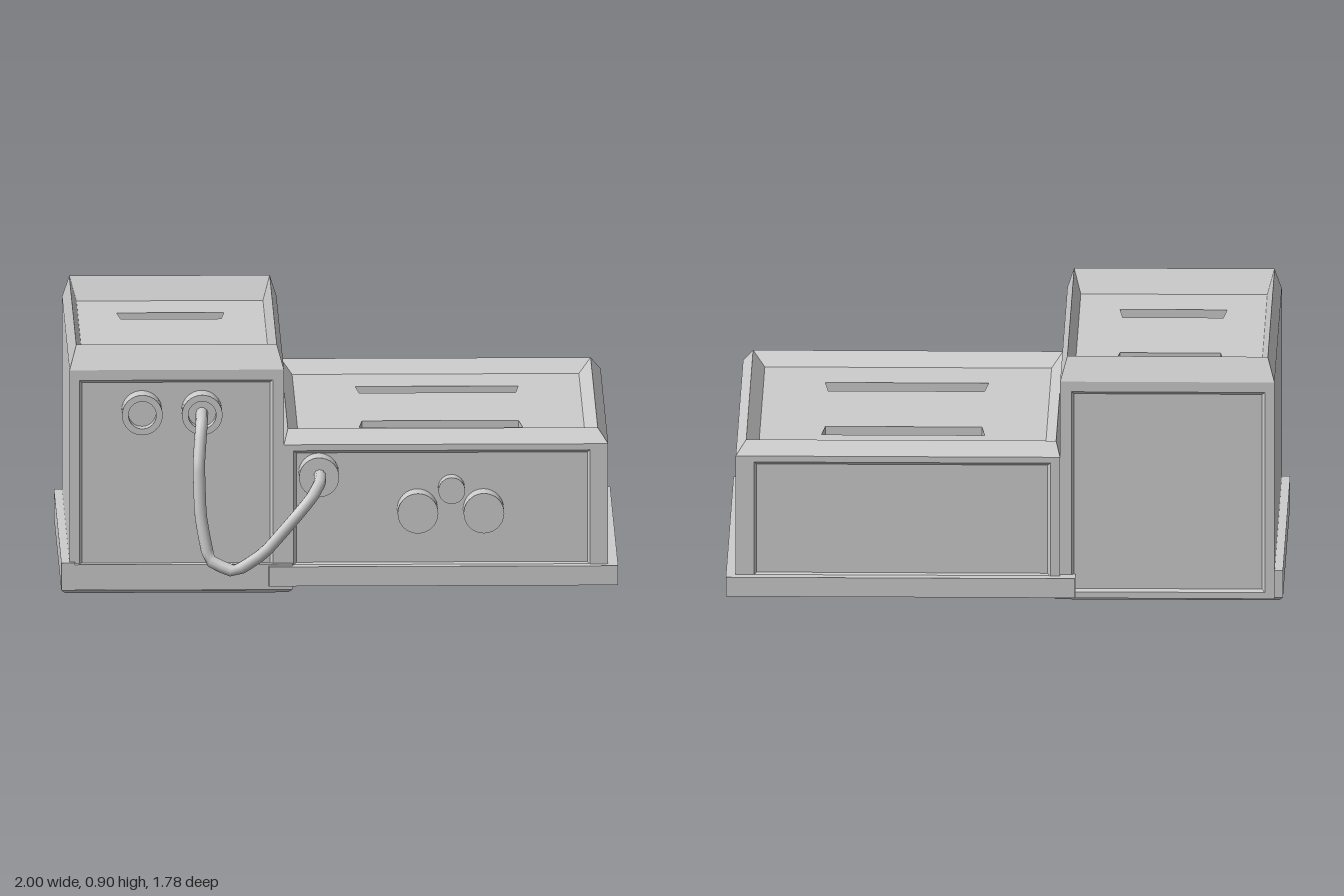
import * as THREE from 'three';
import { toCreasedNormals } from 'three/addons/utils/BufferGeometryUtils.js';

const grey = new THREE.MeshStandardMaterial({ color: 0xcccccc });

function add(parent, name, geometry, x = 0, y = 0, z = 0) {
  const mesh = new THREE.Mesh(geometry, grey);
  mesh.name = name;
  mesh.position.set(x, y, z);
  parent.add(mesh);
  return mesh;
}

// Box given by its limits
function block(parent, name, x0, x1, y0, y1, z0, z1) {
  return add(parent, name, new THREE.BoxGeometry(x1 - x0, y1 - y0, z1 - z0),
    (x0 + x1) / 2, (y0 + y1) / 2, (z0 + z1) / 2);
}

const polygon = (points, Type = THREE.Shape) => new Type(points.map(p => new THREE.Vector2(...p)));

// Bands between rectangular rings [x0, x1, z0, z1, y]
function ringBands(rings) {
  const corners = rings.map(([x0, x1, z0, z1, y]) => [[x0, y, z1], [x1, y, z1], [x1, y, z0], [x0, y, z0]]);
  const pos = [];
  for (let r = 0; r < rings.length - 1; r++) {
    for (let i = 0; i < 4; i++) {
      const j = (i + 1) % 4;
      const a = corners[r][i], b = corners[r][j], c = corners[r + 1][j], d = corners[r + 1][i];
      pos.push(...a, ...b, ...c, ...a, ...c, ...d);
    }
  }
  const g = new THREE.BufferGeometry();
  g.setAttribute('position', new THREE.Float32BufferAttribute(pos, 3));
  g.computeVertexNormals();
  return g;
}

// Horizontal plate pierced by slightly tapered slots
function slottedPlate([x0, x1, z0, z1], y, thickness, slots, shift = 0) {
  const shape = polygon([[x0, -z1], [x1, -z1], [x1, -z0], [x0, -z0]]);
  for (const [sx0, sx1, zNarrow, zWide] of slots) {
    const n = -zNarrow - shift, w = -zWide - shift;
    shape.holes.push(polygon([[sx0, w], [sx1, w], [sx1 - 0.012, n], [sx0 + 0.012, n]], THREE.Path));
  }
  const g = new THREE.ExtrudeGeometry(shape, { depth: thickness, bevelEnabled: false });
  return g.rotateX(-Math.PI / 2).translate(0, y, 0);
}

const WALL = 0.04, RECESS = 0.012, SLOT = 0.06;

// Upright frame with bevelled opening; facing is 1 for front, -1 for back
function endFrame(x0, x1, y0, y1, [px0, px1, py0, py1], facing) {
  const ring = (a, b, lo, hi, depth) => facing > 0 ? [a, b, -hi, -lo, depth] : [a, b, lo, hi, depth];
  return ringBands([
    ring(x0, x1, y0, y1, -WALL), ring(x0, x1, y0, y1, 0), ring(px0, px1, py0, py1, 0),
    ring(px0 + 0.01, px1 - 0.01, py0 + 0.01, py1 - 0.01, -RECESS),
  ]).rotateX(facing * Math.PI / 2);
}

function cabinet(name, o) {
  const group = new THREE.Group();
  group.name = name;
  const { x: [x0, x1], z: [z0, z1], bottom, rim, top, panel, backPanel, ridge, inner, slots } = o;

  // Front and back frames with sunken panels
  const [px0, px1, py0, py1] = panel, [bx0, bx1, by0, by1] = backPanel;
  add(group, 'frontFrame', endFrame(x0, x1, bottom, rim, panel, 1), 0, 0, z1);
  add(group, 'backFrame', endFrame(x0, x1, bottom, rim, backPanel, -1), 0, 0, z0);
  block(group, 'frontPanel', px0, px1, py0, py1, z1 - WALL, z1 - RECESS);
  block(group, 'backPanel', bx0, bx1, by0, by1, z0 + RECESS, z0 + WALL);

  // Side walls and the core that closes the slots
  block(group, 'rightWall', x0, x0 + 0.02, bottom, rim, z0 + WALL, z1 - WALL);
  block(group, 'leftWall', x1 - 0.02, x1, bottom, rim, z0 + WALL, z1 - WALL);
  block(group, 'core', x0 + 0.02, x1 - 0.02, bottom + 0.015, rim - SLOT, z0 + WALL, z1 - WALL);

  // Bevelled rim around the sunken, slotted lid
  add(group, 'topRim', ringBands([[x0, x1, z0, z1, rim], [...ridge, top], [...inner, rim]]));
  add(group, 'lid', slottedPlate(inner, rim - SLOT, SLOT, slots));
  return group;
}

// Cylinder pointing forward from the panel, optionally with a bore
function knob(parent, name, x, y, r, zEnd, bore = 0) {
  const z0 = 0.56, d = zEnd - z0;
  const profile = bore
    ? [[r, 0], [r, d], [bore, d], [bore, d - 0.05], [0, d - 0.05]]
    : [[r, 0], [r, d], [0, d]];
  const lathe = new THREE.LatheGeometry(profile.map(p => new THREE.Vector2(...p)), 32);
  add(parent, name, toCreasedNormals(lathe.rotateX(Math.PI / 2), 0.6), x, y, z0);
}

export function createModel() {
  const model = new THREE.Group();
  model.name = 'twinCabinets';

  const tallSlots = [[-0.78, -0.395, -0.39, -0.51], [-0.78, -0.395, 0.14, 0.26]];
  const tall = cabinet('tallCabinet', {
    x: [-0.97, -0.2], z: [-0.83, 0.59], bottom: 0.012, rim: 0.812, top: 0.896,
    panel: [-0.935, -0.24, 0.09, 0.775], backPanel: [-0.935, -0.24, 0.035, 0.775],
    ridge: [-0.945, -0.225, -0.785, 0.54], inner: [-0.92, -0.25, -0.74, 0.49],
    slots: tallSlots,
  });
  // Skirt and shallow bevelled underside
  block(tall, 'sideSkirt', -1, -0.95, 0.012, 0.112, -0.81, 0.613);
  block(tall, 'frontSkirt', -0.95, -0.17, 0.012, 0.105, 0.57, 0.61);
  const sole = [-0.95, -0.22, -0.765, 0.56];
  add(tall, 'bottomRim', ringBands([
    [...sole, 0.01], [-0.985, -0.185, -0.8, 0.6, 0], [-1, -0.17, -0.81, 0.613, 0.012]]));
  add(tall, 'bottomPlate', slottedPlate(sole, 0.01, 0.02, tallSlots, 0.04));
  model.add(tall);

  const low = cabinet('lowCabinet', {
    x: [-0.2, 0.965], z: [-0.85, 0.59], bottom: 0.04, rim: 0.537, top: 0.587,
    panel: [-0.165, 0.9, 0.095, 0.515], backPanel: [-0.165, 0.9, 0.095, 0.515],
    ridge: [-0.185, 0.928, -0.805, 0.54], inner: [-0.145, 0.885, -0.76, 0.49],
    slots: [[0.077, 0.663, -0.4, -0.525], [0.077, 0.663, 0.135, 0.26]],
  });
  block(low, 'basePlate', -0.2, 1, 0.027, 0.098, -0.89, 0.628);
  block(low, 'frontBaseTab', -0.255, -0.2, 0.027, 0.098, 0.57, 0.628);
  block(low, 'backBaseTab', -0.255, -0.2, 0.027, 0.098, -0.89, -0.8);
  model.add(low);

  // Sockets and knobs
  knob(model, 'socket', -0.71, 0.662, 0.073, 0.67, 0.05);
  knob(model, 'cableSocket', -0.495, 0.662, 0.073, 0.67, 0.05);
  knob(model, 'cablePlug', -0.075, 0.432, 0.072, 0.67);
  knob(model, 'largeKnob', 0.28, 0.299, 0.073, 0.67);
  knob(model, 'largeKnob', 0.517, 0.299, 0.073, 0.67);
  knob(model, 'smallKnob', 0.402, 0.376, 0.048, 0.64);

  // Hanging cable with lightly kinked bends
  const path = new THREE.CatmullRomCurve3([
    [-0.495, 0.66, 0.61], [-0.497, 0.648, 0.7], [-0.5, 0.62, 0.73], [-0.509, 0.5, 0.775],
    [-0.503, 0.32, 0.793], [-0.472, 0.16, 0.812], [-0.38, 0.122, 0.837], [-0.275, 0.195, 0.863],
    [-0.175, 0.31, 0.868], [-0.108, 0.385, 0.835], [-0.073, 0.43, 0.75], [-0.073, 0.442, 0.64],
  ].map(p => new THREE.Vector3(...p)), false, 'catmullrom', 0.15);
  add(model, 'cable', new THREE.TubeGeometry(path, 32, 0.022, 10));

  return model;
}
